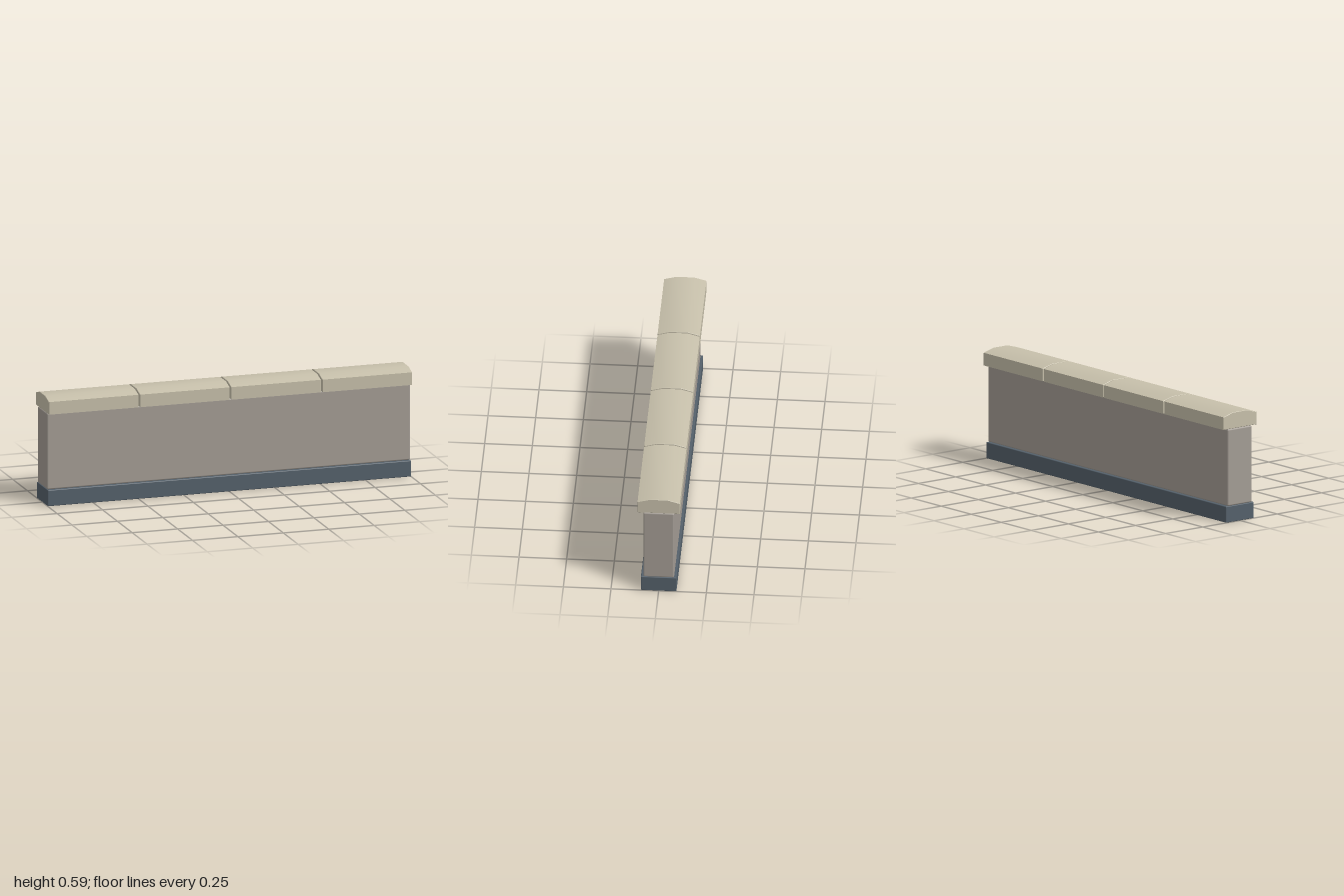
import * as THREE from 'three';
import { RoundedBoxGeometry } from 'three/addons/geometries/RoundedBoxGeometry.js';
import { toCreasedNormals } from 'three/addons/utils/BufferGeometryUtils.js';

const paint = (color) => new THREE.MeshStandardMaterial({ color });

// Softly rounded block running the full length, from y0 to y1
function block(name, y0, y1, depth, radius, material) {
  const mesh = new THREE.Mesh(new RoundedBoxGeometry(2, y1 - y0, depth, 2, radius), material);
  mesh.name = name;
  mesh.position.y = (y0 + y1) / 2;
  return mesh;
}

// Coping stone: sloped-top profile pushed along x, with a fine bevel at its ends
function copingGeometry(length) {
  const bevel = 0.002;
  const profile = new THREE.Shape([
    [-0.111, 0.502], [0.111, 0.502], [0.111, 0.57],
    [0.047, 0.588], [-0.047, 0.588], [-0.111, 0.57],
  ].map(([x, y]) => new THREE.Vector2(x, y)));
  const geometry = new THREE.ExtrudeGeometry(profile, {
    depth: length - 2 * bevel,
    bevelEnabled: true, bevelSegments: 1,
    bevelSize: bevel, bevelThickness: bevel, bevelOffset: -bevel,
  });
  geometry.translate(0, 0, bevel - length / 2);
  geometry.rotateY(Math.PI / 2);
  return toCreasedNormals(geometry, 0.5);
}

export function createModel() {
  const model = new THREE.Group();
  model.name = 'lowWall';

  // Plinth and wall body
  model.add(block('plinth', 0.002, 0.089, 0.187, 0.004, paint(0x54606a)));
  model.add(block('wallBody', 0.089, 0.501, 0.162, 0.008, paint(0xa39c94)));

  // Four coping stones with narrow joints, flush with the wall ends
  const count = 4, gap = 0.008;
  const length = (2 - gap * (count - 1)) / count;
  const geometry = copingGeometry(length);
  const stone = paint(0xc6bfaa);
  for (let i = 0; i < count; i++) {
    const cap = new THREE.Mesh(geometry, stone);
    cap.name = `copingStone${i + 1}`;
    cap.position.x = -1 + length / 2 + i * (length + gap);
    model.add(cap);
  }
  return model;
}
